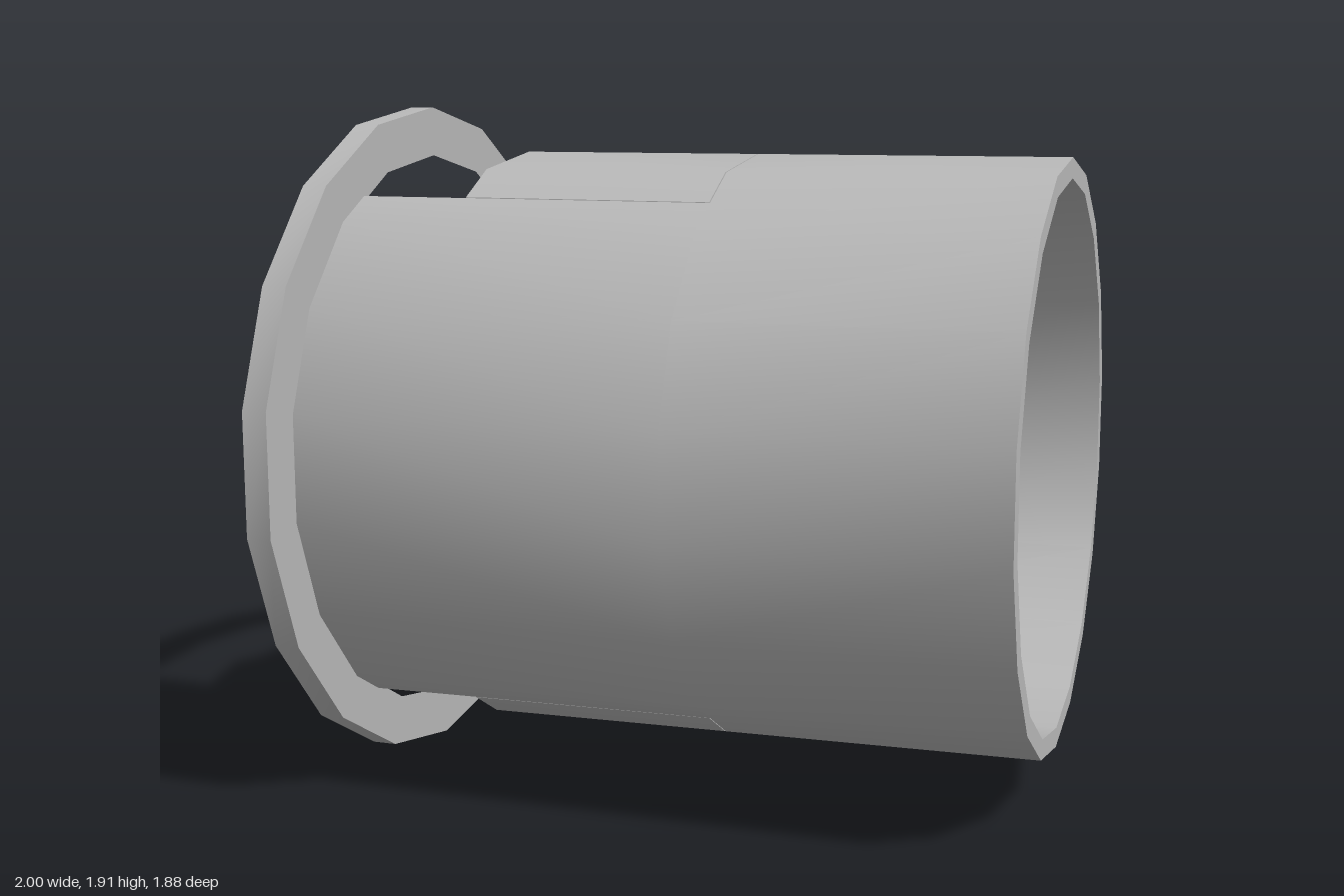
import * as THREE from 'three';
import { toCreasedNormals } from 'three/addons/utils/BufferGeometryUtils.js';

const SIDES = 18, STEP = (2 * Math.PI) / SIDES, CREASE = 0.6;
const V = (z, y) => new THREE.Vector2(z, y);

// Point on the 18-sided outline of radius r, at angle a from the top
function onOutline(r, a) {
  const m = ((a % STEP) + STEP) % STEP;
  const d = r * Math.cos(STEP / 2) / Math.cos(m - STEP / 2);
  return V(d * Math.sin(a), d * Math.cos(a));
}

// Outline points from angle a0 to a1, with every corner numbered k0 to k1 between
function arc(r, a0, a1, k0, k1) {
  const pts = [onOutline(r, a0)];
  for (let k = k0; k <= k1; k++) pts.push(onOutline(r, k * STEP));
  pts.push(onOutline(r, a1));
  return pts;
}

// Angle at which an outline of radius r reaches the given half width
const cutAngle = (r, w) => Math.asin(w / (r * Math.cos(STEP / 2)));

// Solid between two matching (z, y) loops at x0 and x1
function loft(x0, loop0, x1, loop1) {
  if (THREE.ShapeUtils.area(loop0) < 0) {
    loop0 = loop0.slice().reverse();
    loop1 = loop1.slice().reverse();
  }
  const n = loop0.length, pos = [], idx = [];
  loop0.forEach(p => pos.push(x0, p.y, p.x));
  loop1.forEach(p => pos.push(x1, p.y, p.x));
  for (let i = 0; i < n; i++) {
    const j = (i + 1) % n;
    idx.push(i, n + i, j, j, n + i, n + j);
  }
  THREE.ShapeUtils.triangulateShape(loop0, []).forEach(([a, b, c]) => idx.push(a, b, c));
  THREE.ShapeUtils.triangulateShape(loop1, []).forEach(([a, b, c]) => idx.push(n + c, n + b, n + a));
  const g = new THREE.BufferGeometry();
  g.setAttribute('position', new THREE.Float32BufferAttribute(pos, 3));
  g.setIndex(idx);
  return toCreasedNormals(g, CREASE);
}

// Flat plate with holes, cut in the zy plane, from x0 to x1
function plate(outline, holes, x0, x1) {
  const s = new THREE.Shape(outline);
  holes.forEach(h => s.holes.push(new THREE.Path(h)));
  const g = new THREE.ExtrudeGeometry(s, { depth: x1 - x0, bevelEnabled: false });
  g.rotateY(Math.PI / 2).translate(x0, 0, 0);
  return toCreasedNormals(g, CREASE);
}

const ring = r => Array.from({ length: SIDES }, (_, k) => onOutline(r, k * STEP));

export function createModel() {
  const model = new THREE.Group();
  const body = new THREE.Group();
  body.name = 'canister';
  body.position.y = 0.955;
  model.add(body);
  const grey = new THREE.MeshStandardMaterial({ color: 0xb8b8b8 });
  grey.name = 'plain grey';
  const add = (name, g) => {
    const m = new THREE.Mesh(g, grey);
    m.name = name;
    body.add(m);
    return m;
  };

  // Open sleeve at the mouth, slightly tapered
  const sleeve = new THREE.LatheGeometry(
    [V(0.733, 0.13), V(0.817, 0.13), V(0.807, 1), V(0.752, 1), V(0.733, 0.13)], SIDES);
  sleeve.rotateY(Math.PI / 2).rotateZ(-Math.PI / 2);
  add('sleeve', toCreasedNormals(sleeve, CREASE));

  // Side walls running back to the flange, leaving notches above and below
  const W = 0.415;
  const wall = (ro, ri) => {
    const o = cutAngle(ro, W), i = cutAngle(ri, W);
    return [...arc(ro, o, Math.PI - o, 2, 7), ...arc(ri, i, Math.PI - i, 2, 7).reverse()];
  };
  const sideWall = loft(-0.88, wall(0.828, 0.7), 0.13, wall(0.817, 0.733));
  add('sideWallFront', sideWall);
  add('sideWallBack', sideWall).rotation.x = Math.PI;

  // Curved panels filling the far part of each notch
  const cover = (ro, ri) => {
    const o = cutAngle(ro, 0.412), i = cutAngle(ri, 0.412);
    return [...arc(ro, -o, o, -1, 1), ...arc(ri, -i, i, -1, 1).reverse()];
  };
  const panel = loft(-0.57, cover(0.825, 0.735), 0.127, cover(0.817, 0.735));
  add('topPanel', panel);
  add('bottomPanel', panel).rotation.x = Math.PI;

  // Flange, its opening widened at the notches
  const rIn = 0.7, rOut = 0.815, ai = cutAngle(rIn, W), ao = cutAngle(rOut, W);
  const opening = [
    ...arc(rOut, -ao, ao, -1, 1), ...arc(rIn, ai, Math.PI - ai, 2, 7),
    ...arc(rOut, Math.PI - ao, Math.PI + ao, 8, 10),
    ...arc(rIn, Math.PI + ai, 2 * Math.PI - ai, 11, 16)];
  add('flange', plate(ring(0.955), [opening], -0.95, -0.88));

  // Inner plug with a drafted pocket on each side
  const plug = (r, pocket) => {
    const a = Math.atan2(pocket[0].x, pocket[0].y);
    const quarter = [...pocket.slice().reverse(), onOutline(r, a), onOutline(r, 2 * STEP), onOutline(r, STEP)];
    const half = [...quarter, V(0, r), ...quarter.slice().reverse().map(p => V(-p.x, p.y))];
    return [...half, ...half.map(p => V(-p.x, -p.y))];
  };
  add('plug', loft(
    -0.53, plug(0.755, [V(0.58, 0.4), V(0.41, 0.463), V(0.349, 0.478)]),
    0.327, plug(0.755, [V(0.56, 0.487), V(0.41, 0.487), V(0.324, 0.487)])));

  // Base plate with four window slots
  const slots = [];
  for (const sz of [-1, 1]) for (const sy of [-1, 1])
    slots.push([V(0.41 * sz, 0.258 * sy), V(0.557 * sz, 0.258 * sy),
      V(0.557 * sz, 0.407 * sy), V(0.41 * sz, 0.463 * sy)]);
  add('basePlate', plate(ring(0.755), slots, -0.57, -0.52));

  // Ramped catch in the middle of each pocket
  const block = z => [V(0.41, -0.258), V(z, -0.258), V(z, 0.258), V(0.41, 0.258)];
  const hook = loft(-0.569, block(0.557), -0.3, block(0.485));
  add('catchFront', hook);
  add('catchBack', hook).rotation.x = Math.PI;

  // Eight-sided boss at the back
  const boss = new THREE.CylinderGeometry(0.309, 0.305, 0.45, 8);
  boss.rotateZ(-Math.PI / 2).translate(-0.775, 0, 0);
  add('boss', toCreasedNormals(boss, 0.9));

  return model;
}
